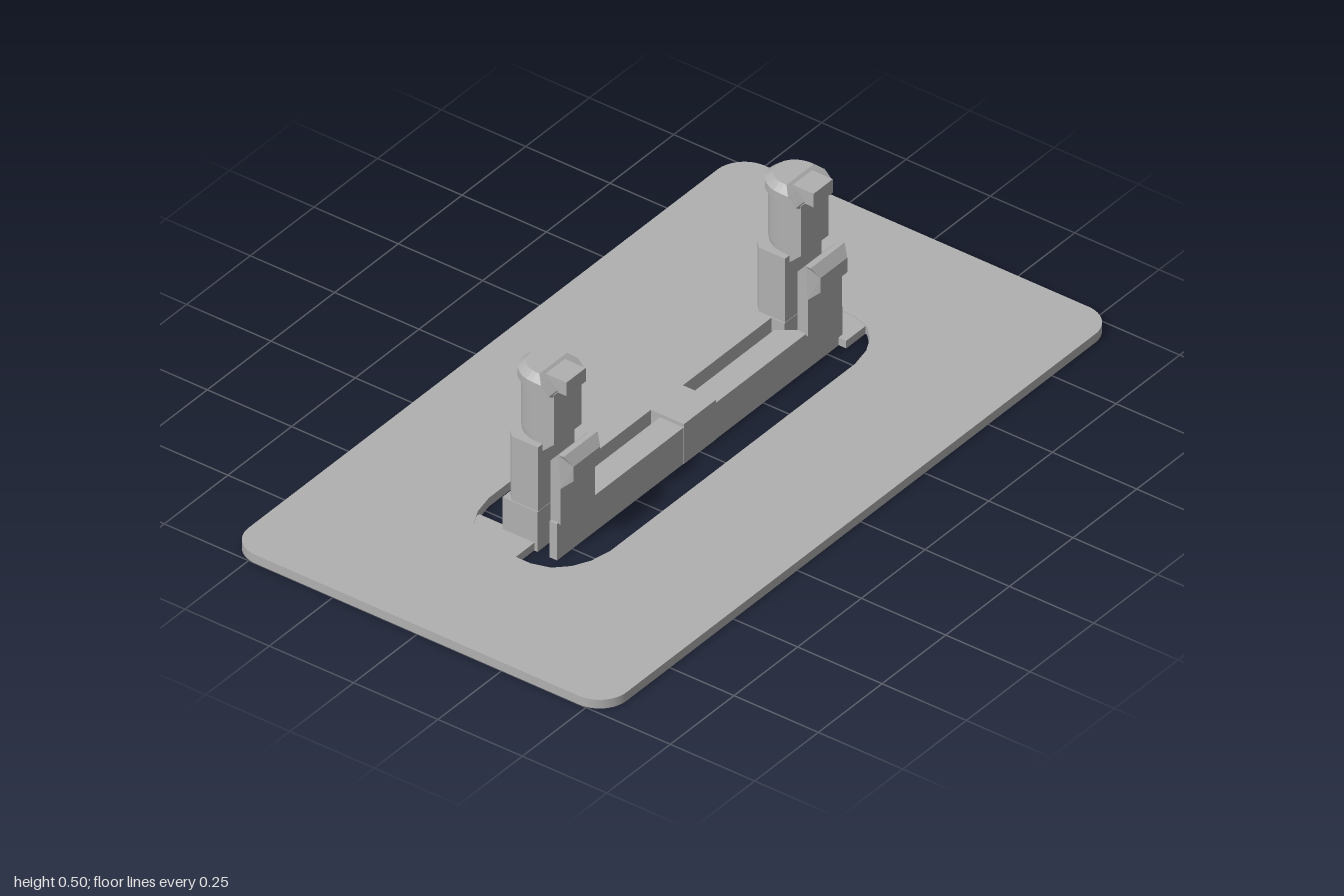
import * as THREE from 'three';

export function createModel() {
  const model = new THREE.Group();
  const gray = new THREE.MeshStandardMaterial({ color: 0xb0b0b0, flatShading: true });
  gray.name = 'plain gray';

  const add = (name, geometry, parent = model) => {
    const mesh = new THREE.Mesh(geometry, gray);
    mesh.name = name;
    parent.add(mesh);
    return mesh;
  };

  // Box given by its limits on each axis
  const block = (name, x0, x1, y0, y1, z0, z1, parent) => {
    const g = new THREE.BoxGeometry(x1 - x0, y1 - y0, z1 - z0);
    g.translate((x0 + x1) / 2, (y0 + y1) / 2, (z0 + z1) / 2);
    return add(name, g, parent);
  };

  // Plan outline of [x, z] points raised from y0 to y1
  const outline = (pts) => new THREE.Shape(pts.map(([x, z]) => new THREE.Vector2(x, -z)));
  const raise = (shape, y0, y1) => {
    const g = new THREE.ExtrudeGeometry(shape, { depth: y1 - y0, bevelEnabled: false, curveSegments: 8 });
    return g.rotateX(-Math.PI / 2).translate(0, y0, 0);
  };

  // Loft with a flat front and a round back; rings are [y, half width, front z, back z]
  const loft = (rings) => {
    const n = 14, mid = 0.006, pos = [], idx = [];
    for (const [y, w, zf, zb] of rings) {
      pos.push(-w, y, zf, w, y, zf);
      for (let i = 0; i <= n; i++) {
        const a = (i / n) * Math.PI;
        pos.push(w * Math.cos(a), y, mid + (zb - mid) * Math.sin(a));
      }
    }
    const m = n + 3, last = (rings.length - 1) * m;
    for (let r = 0; r < rings.length - 1; r++) {
      for (let i = 0; i < m; i++) {
        const a = r * m + i, b = r * m + ((i + 1) % m);
        idx.push(a, b, b + m, a, b + m, a + m);
      }
    }
    for (let i = 1; i < m - 1; i++) {
      idx.push(last, last + i, last + i + 1, 0, i + 1, i);
    }
    const g = new THREE.BufferGeometry();
    g.setAttribute('position', new THREE.Float32BufferAttribute(pos, 3));
    g.setIndex(idx);
    const flat = g.toNonIndexed();
    flat.computeVertexNormals();
    return flat;
  };

  // Base plate with rounded corners and a long slot
  const W = 1, D = 0.56, R = 0.08;
  const plate = new THREE.Shape();
  plate.moveTo(-W + R, -D);
  plate.lineTo(W - R, -D);
  plate.absarc(W - R, -D + R, R, -Math.PI / 2, 0);
  plate.absarc(W - R, D - R, R, 0, Math.PI / 2);
  plate.absarc(-W + R, D - R, R, Math.PI / 2, Math.PI);
  plate.absarc(-W + R, -D + R, R, Math.PI, Math.PI * 1.5);
  const quarter = [[0.635, 0.06], [0.62, 0.11], [0.585, 0.145], [0.54, 0.168], [0.48, 0.18]];
  const back = [...quarter].reverse();
  plate.holes.push(outline([
    ...quarter,
    ...back.map(([x, z]) => [-x, z]),
    ...quarter.map(([x, z]) => [-x, -z]),
    ...back.map(([x, z]) => [x, -z]),
  ]));
  add('basePlate', raise(plate, 0, 0.025));

  // Tabs tying the frame to the plate
  block('rightTab', -0.64, -0.545, 0.001, 0.023, -0.16, 0.015);
  block('leftTab', 0.545, 0.64, 0.001, 0.023, -0.085, 0.105);

  // Twin rails and the bridge between them
  block('backRail', -0.475, 0.475, 0, 0.115, -0.112, -0.015);
  add('frontRail', raise(outline([
    [-0.56, 0.082], [0.56, 0.082], [0.56, 0.06], [0.42, 0.06],
    [0.385, 0.012], [-0.385, 0.012], [-0.42, 0.06], [-0.56, 0.06],
  ]), 0, 0.105));
  block('bridge', -0.063, 0.063, 0, 0.115, -0.02, 0.083);

  // Spring clip side profile, [z, y]
  const clipProfile = [[0.057, 0.1], [0.087, 0.1], [0.087, 0.205], [0.114, 0.23],
    [0.114, 0.272], [0.095, 0.3], [0.08, 0.3], [0.057, 0.275]];
  const clipGeometry = () => {
    const shape = new THREE.Shape(clipProfile.map(([z, y]) => new THREE.Vector2(z, y)));
    const g = new THREE.ExtrudeGeometry(shape, { depth: 0.134, bevelEnabled: false });
    g.translate(0, 0, -0.067).rotateY(-Math.PI / 2);
    const p = g.attributes.position;
    for (let i = 0; i < p.count; i++) if (p.getZ(i) > 0.1) p.setX(i, p.getX(i) * 0.78);
    g.computeVertexNormals();
    return g;
  };

  // Latch posts at both ends
  for (const side of [-1, 1]) {
    const post = new THREE.Group();
    post.name = side > 0 ? 'leftPost' : 'rightPost';
    post.position.x = side * 0.485;
    model.add(post);

    block('postFoot', -0.075, 0.075, 0, 0.115, -0.08, 0.024, post);
    add('postBody', raise(outline([
      [-0.072, 0.023], [0.072, 0.023], [0.072, -0.055],
      [0.05, -0.075], [-0.05, -0.075], [-0.072, -0.055],
    ]), 0.11, 0.3), post);
    add('clip', clipGeometry(), post);
    add('shaft', loft([
      [0.28, 0.054, 0.023, -0.06], [0.312, 0.054, 0.057, -0.072], [0.456, 0.054, 0.057, -0.072],
    ]), post);
    add('head', loft([
      [0.45, 0.058, 0.055, -0.072], [0.46, 0.072, 0.055, -0.075],
      [0.483, 0.072, 0.032, -0.075], [0.5, 0.054, 0.014, -0.055],
    ]), post);
    block('headNub', -0.038, 0.038, 0.455, 0.494, 0.01, 0.082, post);
  }
  return model;
}
